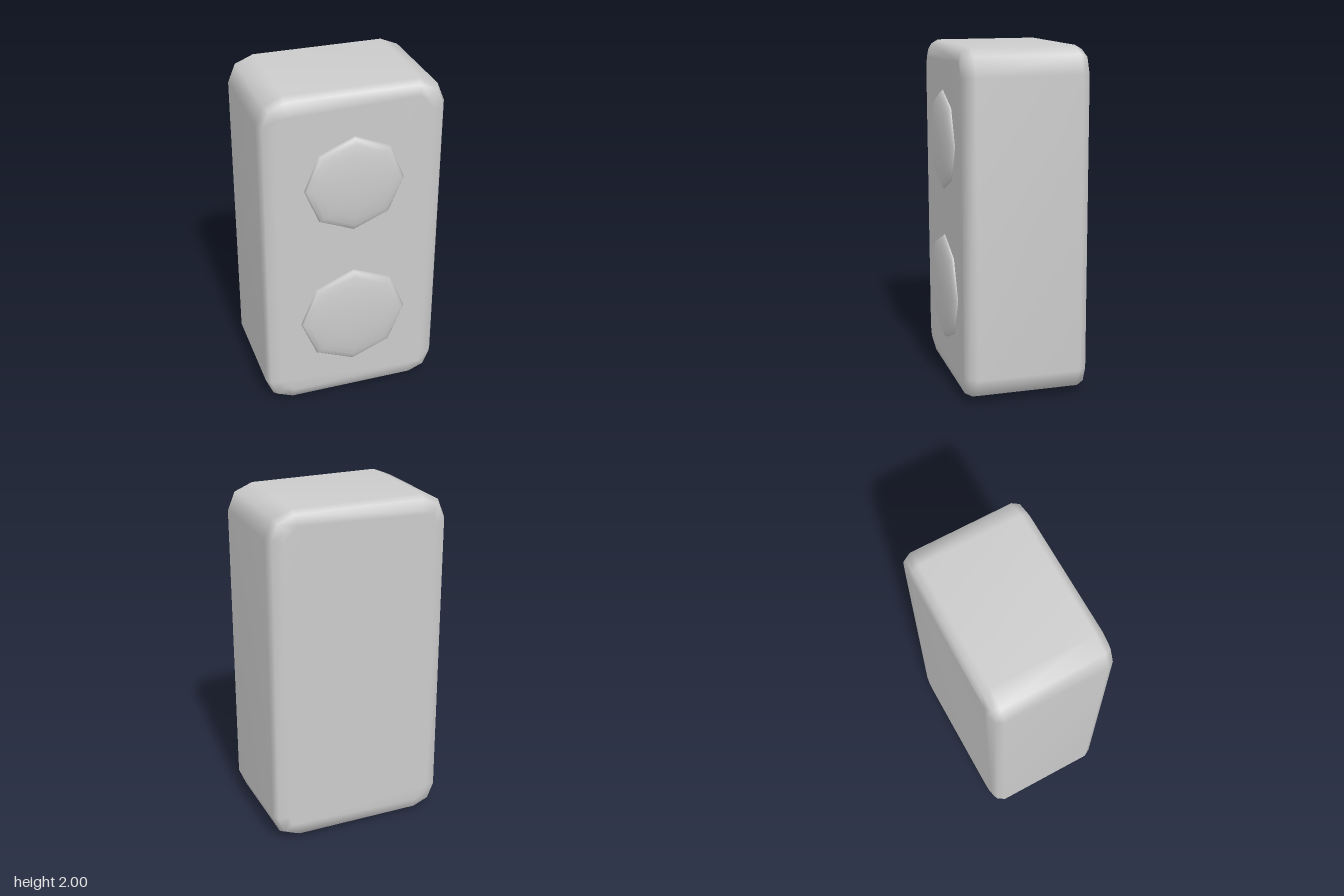
import * as THREE from 'three';
import { mergeVertices } from 'three/addons/utils/BufferGeometryUtils.js';

const WIDTH = 1.068, HEIGHT = 1.997, DEPTH = 0.722;
const CORNER = 0.15;       // radius of the upright outline
const INSET = 0.08;        // how far the front and back edges round inwards
const EDGE = 0.06;         // how deep that rounding goes

// Rectangle with corners cut into two facets each
function outline(w, h, r) {
  const points = [];
  [[1, 1], [-1, 1], [-1, -1], [1, -1]].forEach(([sx, sy], corner) => {
    for (let i = 0; i <= 2; i++) {
      const a = (corner + i / 2) * Math.PI / 2;
      points.push(new THREE.Vector2(
        sx * (w / 2 - r) + r * Math.cos(a),
        sy * (h / 2 - r) + r * Math.sin(a)));
    }
  });
  return new THREE.Shape(points);
}

function cabinetGeometry() {
  const geometry = new THREE.ExtrudeGeometry(outline(WIDTH, HEIGHT, CORNER), {
    depth: DEPTH - 2 * EDGE, bevelEnabled: true, bevelSegments: 2,
    bevelSize: INSET, bevelThickness: EDGE, bevelOffset: -INSET,
  });
  geometry.translate(0, 0, EDGE - DEPTH / 2);
  // Shared, area-weighted normals keep the big faces flat and the edges soft
  geometry.deleteAttribute('normal');
  geometry.deleteAttribute('uv');
  const merged = mergeVertices(geometry, 1e-4);
  merged.computeVertexNormals();
  return merged;
}

export function createModel() {
  const material = new THREE.MeshStandardMaterial({ color: 0xcccccc });
  const model = new THREE.Group();
  model.name = 'loudspeaker';

  // The whole box stands very slightly askew
  const body = new THREE.Group();
  body.name = 'body';
  body.position.set(0, 1, -0.021);
  body.rotation.set(0.003, -0.0215, 0);
  model.add(body);

  const cabinet = new THREE.Mesh(cabinetGeometry(), material);
  cabinet.name = 'cabinet';
  body.add(cabinet);

  // Shallow eight-sided domes on the front
  const dome = new THREE.SphereGeometry(1, 8, 6, 0, Math.PI * 2, 0, Math.PI / 2);
  dome.rotateX(Math.PI / 2);
  for (const [name, y, radius] of [['upperDriver', 0.445, 0.29], ['lowerDriver', -0.44, 0.32]]) {
    const driver = new THREE.Mesh(dome, material);
    driver.name = name;
    driver.position.set(-0.002, y, DEPTH / 2);
    driver.scale.set(radius, radius, 0.047);
    body.add(driver);
  }
  return model;
}
